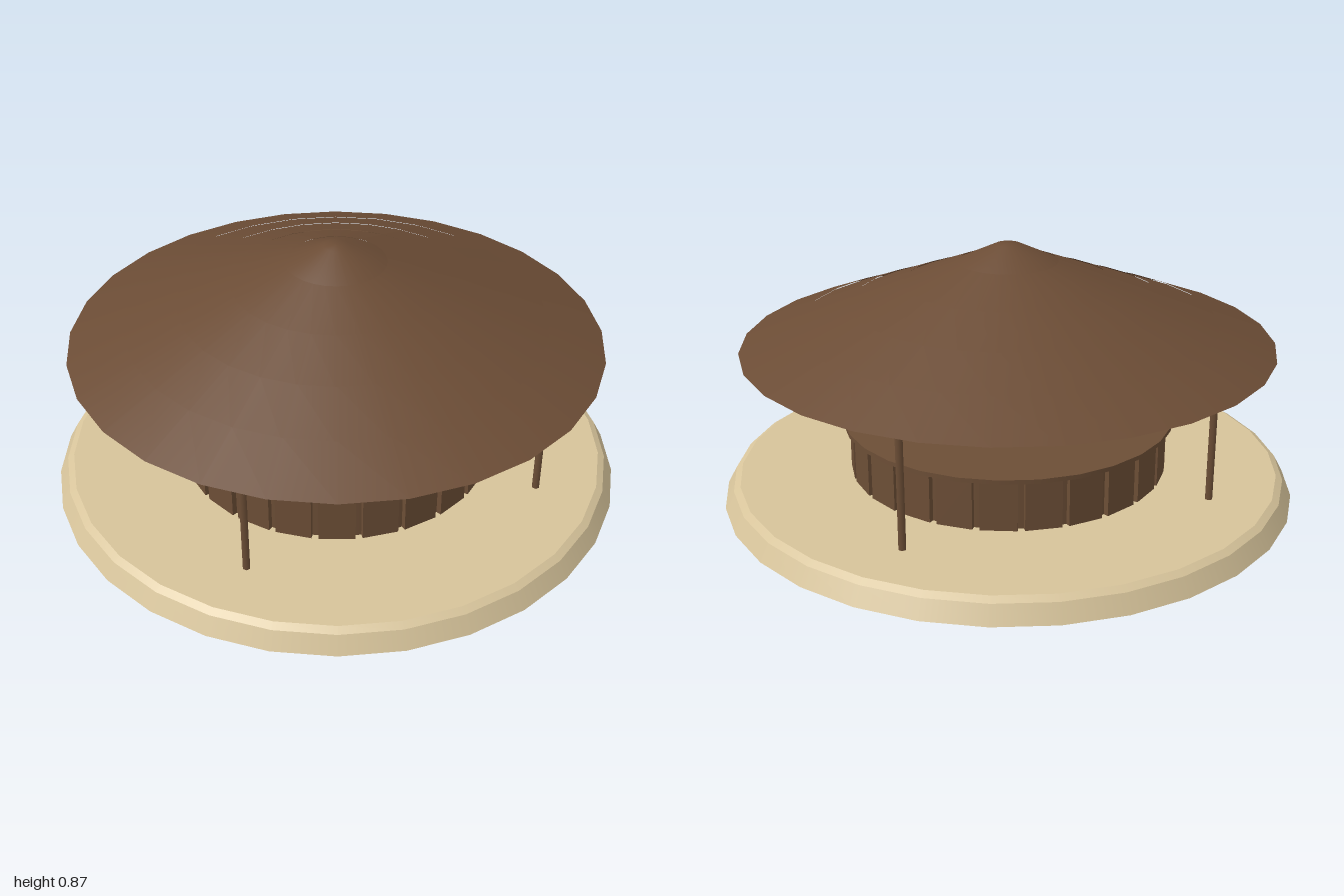
import * as THREE from 'three';

export function createModel() {
  const model = new THREE.Group();
  const mat = (name, color, side = THREE.FrontSide) => {
    const m = new THREE.MeshStandardMaterial({ color, side });
    m.name = name;
    return m;
  };
  const sand = mat('sand', 0xd6c39a);
  const thatch = mat('thatch', 0x6b4c35, THREE.DoubleSide);
  const wood = mat('wood', 0x6c4e36);

  const add = (name, geometry, material, parent = model) => {
    const mesh = new THREE.Mesh(geometry, material);
    mesh.name = name;
    parent.add(mesh);
    return mesh;
  };
  const lathe = (points, sides) =>
    new THREE.LatheGeometry(points.map(([r, y]) => new THREE.Vector2(r, y)), sides);

  // Sand base: sloping side, narrow bevel and flat top
  add('baseSide', lathe([[1, 0], [0.968, 0.058]], 30), sand);
  add('baseBevel', lathe([[0.968, 0.058], [0.945, 0.072]], 30), sand);
  const disc = (name, r, y, up) => {
    const d = add(name, new THREE.CircleGeometry(r, 30, Math.PI / 2), sand);
    d.rotation.x = up ? -Math.PI / 2 : Math.PI / 2;
    // line the disc up with the lathe corners
    if (up) d.rotation.z = Math.PI;
    else d.rotation.z = 0;
    d.position.y = y;
  };
  disc('baseTop', 0.945, 0.072, true);
  disc('baseUnderside', 1, 0, false);

  // Round counter: core, upright boards and overhanging top
  const counter = new THREE.Group();
  counter.name = 'counter';
  model.add(counter);
  const core = add('counterCore', new THREE.CylinderGeometry(0.54, 0.54, 0.178, 48), wood, counter);
  core.position.y = 0.159;
  const boards = 24;
  for (let i = 0; i < boards; i++) {
    const a = (i / boards) * Math.PI * 2;
    const board = add('counterBoard', new THREE.BoxGeometry(0.122, 0.175, 0.025), wood, counter);
    board.position.set(Math.sin(a) * 0.542, 0.1595, Math.cos(a) * 0.542);
    board.rotation.y = a;
  }
  const top = add('counterTop', new THREE.CylinderGeometry(0.58, 0.58, 0.015, 28), wood, counter);
  top.position.y = 0.2535;

  // Four posts on a turned square
  for (let i = 0; i < 4; i++) {
    const a = THREE.MathUtils.degToRad(67.2 + i * 90);
    const post = add('post', new THREE.CylinderGeometry(0.013, 0.013, 0.45, 6), wood);
    post.position.set(Math.sin(a) * 0.747, 0.295, Math.cos(a) * 0.747);
  }

  // Ring beam under the eaves
  add('ringBeam', lathe([[0.745, 0.497], [0.765, 0.497], [0.765, 0.53], [0.745, 0.53], [0.745, 0.497]], 28)
    .toNonIndexed(), wood).geometry.computeVertexNormals();

  // Thatched roof: overlapping open tiers, then the cap
  const roof = new THREE.Group();
  roof.name = 'roof';
  model.add(roof);
  const tiers = [[0.918, 0.526], [0.735, 0.593], [0.553, 0.661], [0.37, 0.729], [0.184, 0.798]];
  for (let i = 0; i < 4; i++) {
    const [r, y] = tiers[i];
    const [nr, ny] = tiers[i + 1];
    add('roofTier', lathe([[r, y], [nr - 0.012, ny + 0.008]], 28), thatch, roof);
  }
  add('roofCap', lathe([[0.184, 0.798], [0.043, 0.864], [0, 0.866]], 28), thatch, roof);

  return model;
}
